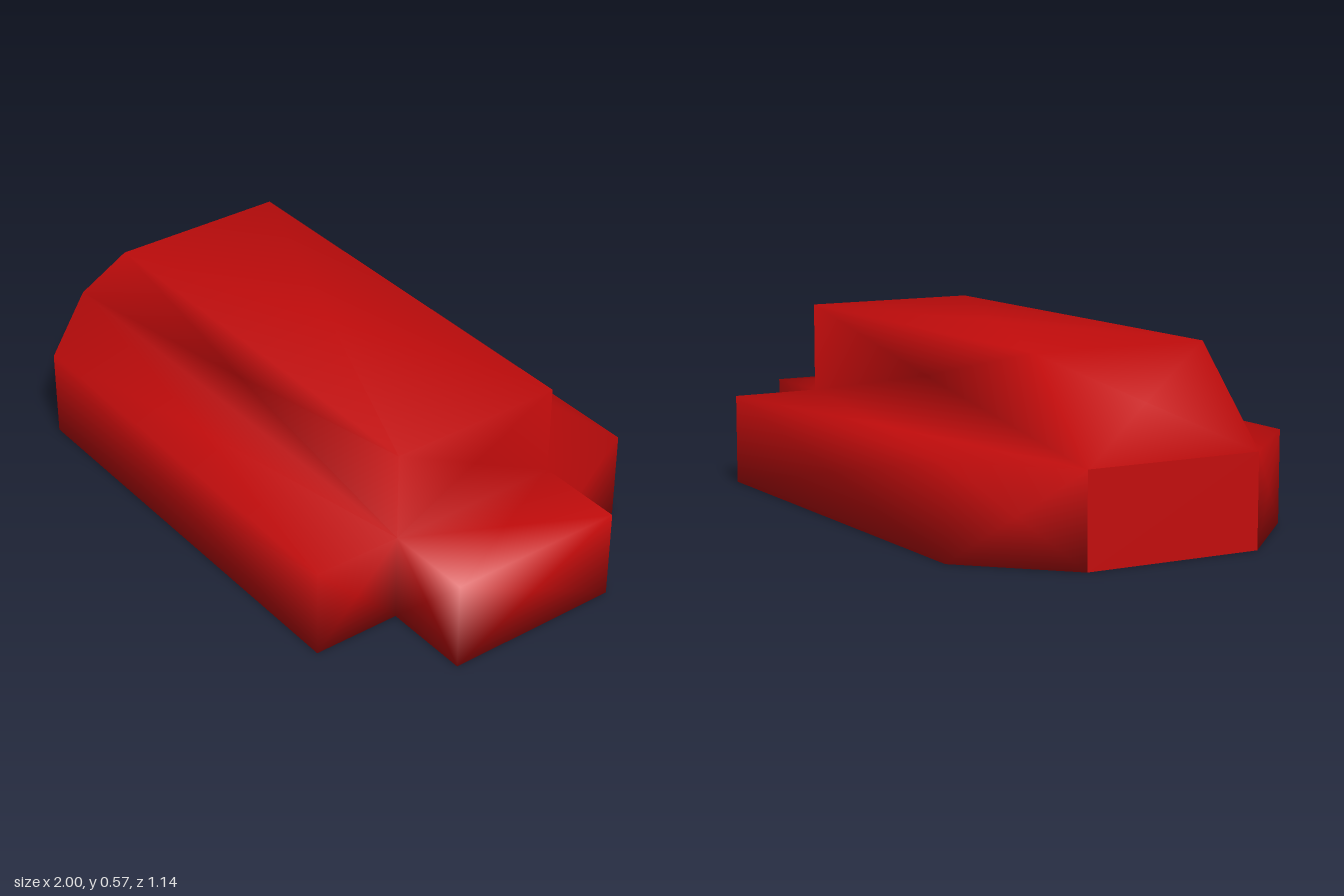
import * as THREE from 'three';
import { mergeVertices } from 'three/addons/utils/BufferGeometryUtils.js';

const U = 2 / 7; // grid unit: the body is 7 x 2 x 4 units

// Panels crossing the centre line, corners counter-clockwise from outside
const centrePanels = [
  [[-2.5, 2, 1], [2.5, 2, 1], [2.5, 2, -1], [-2.5, 2, -1]], // roof
  [[-3.5, 1, -1], [-3.5, 1, 1], [-2.5, 2, 1], [-2.5, 2, -1]], // sloping nose
  [[2.5, 1, 1], [2.5, 1, -1], [2.5, 2, -1], [2.5, 2, 1]], // roof end
  [[2.5, 1, 1], [3.5, 1, 1], [3.5, 1, -1], [2.5, 1, -1]], // tail top
  [[3.5, 0, 1], [3.5, 0, -1], [3.5, 1, -1], [3.5, 1, 1]], // tail end
  [[2.5, 0, -1], [3.5, 0, -1], [3.5, 0, 1], [2.5, 0, 1]], // tail underside
];

// Panels of the +z side, mirrored to -z
const sidePanels = [
  [[-3.5, 1, 1], [2.5, 1, 1], [2.5, 2, 1], [-2.5, 2, 1]], // roof side
  [[-3.5, 1, 1], [-2.5, 1, 2], [2.5, 1, 2], [2.5, 1, 1]], // wing top
  [[-2.5, 0, 2], [2.5, 0, 2], [2.5, 1, 2], [-2.5, 1, 2]], // wing wall
  [[-3.5, 0, 1], [-2.5, 0, 2], [-2.5, 1, 2], [-3.5, 1, 1]], // wing chamfer
  [[2.5, 0, 2], [2.5, 0, 1], [2.5, 1, 1], [2.5, 1, 2]], // wing end
  [[-3.5, 0, 1], [2.5, 0, 1], [2.5, 0, 2], [-2.5, 0, 2]], // wing underside
  [[2.5, 0, 1], [3.5, 0, 1], [3.5, 1, 1], [2.5, 1, 1]], // tail side
];

// Flat panels with sharp borders
const floorPanel = [[-3.5, 0, -1], [2.5, 0, -1], [2.5, 0, 1], [-3.5, 0, 1]];
const nosePanel = [[-3.5, 0, -1], [-3.5, 0, 1], [-3.5, 1, 1], [-3.5, 1, -1]];

const mirror = (quad) => quad.map(([x, y, z]) => [x, y, -z]).reverse();

// Splits a quad into four triangles around its middle, so shading stays even
function fan(quad) {
  const middle = [0, 1, 2].map((k) => quad.reduce((sum, corner) => sum + corner[k], 0) / 4);
  return quad.flatMap((corner, i) => [...corner, ...quad[(i + 1) % 4], ...middle]);
}

// Welds quads into one smoothly shaded surface
function smoothPanels(quads) {
  const positions = quads.flatMap(fan).map((v) => v * U);
  let geometry = new THREE.BufferGeometry();
  geometry.setAttribute('position', new THREE.Float32BufferAttribute(positions, 3));
  geometry = mergeVertices(geometry);
  geometry.computeVertexNormals();
  return geometry;
}

export function createModel() {
  const group = new THREE.Group();
  group.name = 'steppedBody';
  const red = new THREE.MeshStandardMaterial({ color: 0xc40c0c, side: THREE.DoubleSide });
  red.name = 'red';

  const add = (name, quads) => {
    const mesh = new THREE.Mesh(smoothPanels(quads), red);
    mesh.name = name;
    group.add(mesh);
  };
  add('outerShell', [...centrePanels, ...sidePanels, ...sidePanels.map(mirror)]);
  add('floor', [floorPanel]);
  add('noseFace', [nosePanel]);
  return group;
}
